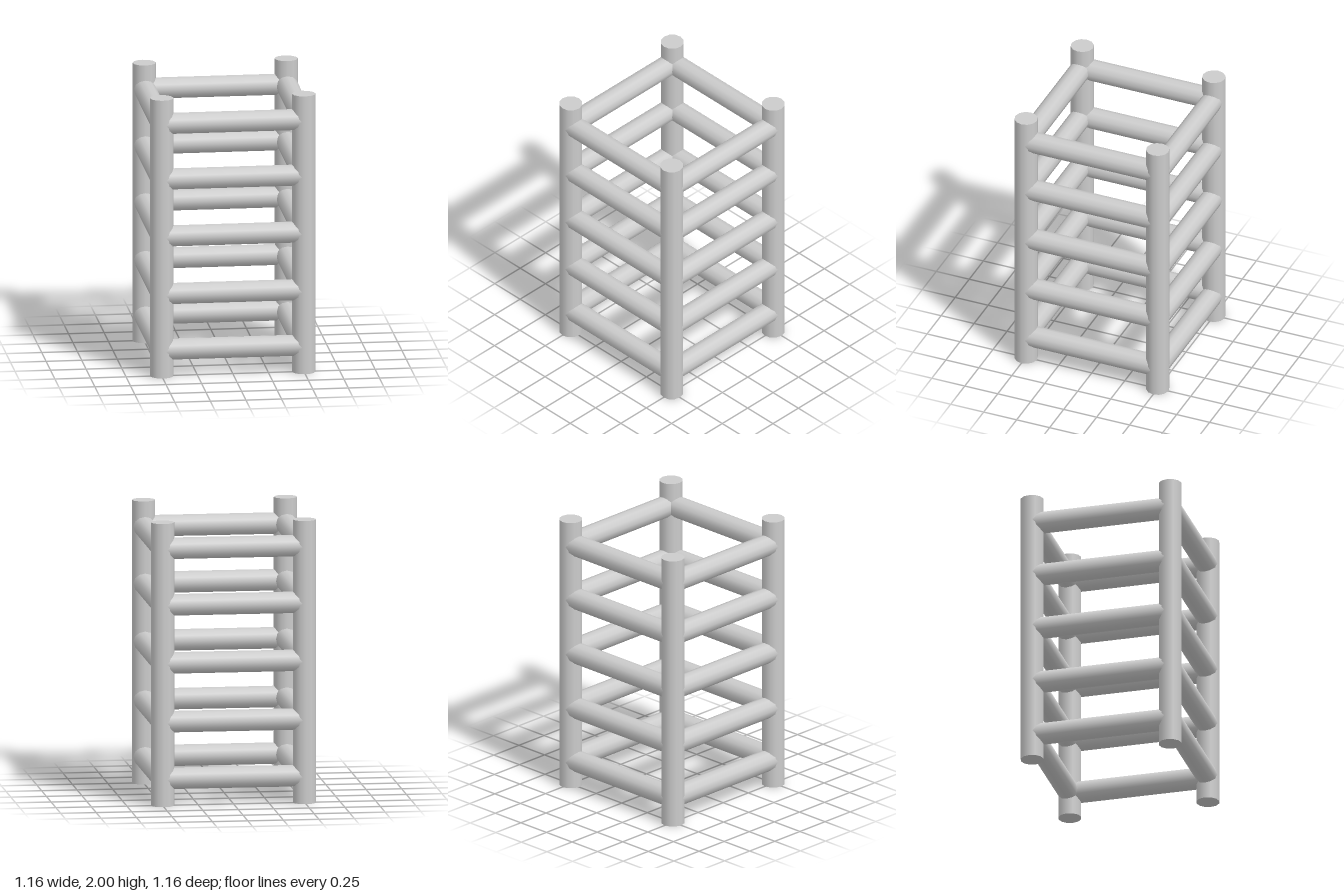
import * as THREE from 'three';

const SPREAD = 0.499;      // post centre distance from each axis
const HEIGHT = 2;
const POST_RADIUS = 0.082;
const RUNG_RADIUS = 0.076;
const SIDES = 12;
const RUNG_HEIGHTS = [0.19, 0.59, 1.005, 1.415, 1.815];

export function createModel() {
  const model = new THREE.Group();
  model.name = 'ladderTower';
  const material = new THREE.MeshStandardMaterial({ color: 0xcccccc });
  const postGeometry = new THREE.CylinderGeometry(POST_RADIUS, POST_RADIUS, HEIGHT, SIDES);
  const rungGeometry = new THREE.CylinderGeometry(RUNG_RADIUS, RUNG_RADIUS, 2 * SPREAD, SIDES);

  const add = (name, geometry, x, y, z) => {
    const mesh = new THREE.Mesh(geometry, material);
    mesh.name = name;
    mesh.position.set(x, y, z);
    model.add(mesh);
    return mesh;
  };

  // Four corner posts
  for (const x of [-1, 1]) {
    for (const z of [-1, 1]) {
      const name = (z > 0 ? 'front' : 'back') + (x > 0 ? 'Left' : 'Right') + 'Post';
      add(name, postGeometry, x * SPREAD, HEIGHT / 2, z * SPREAD);
    }
  }

  // A square ring of four rungs at each level, ending inside the posts
  RUNG_HEIGHTS.forEach((y, i) => {
    for (const s of [-1, 1]) {
      add(`${s > 0 ? 'front' : 'back'}Rung${i + 1}`, rungGeometry, 0, y, s * SPREAD).rotation.z = Math.PI / 2;
      add(`${s > 0 ? 'left' : 'right'}Rung${i + 1}`, rungGeometry, s * SPREAD, y, 0).rotation.x = Math.PI / 2;
    }
  });

  return model;
}
